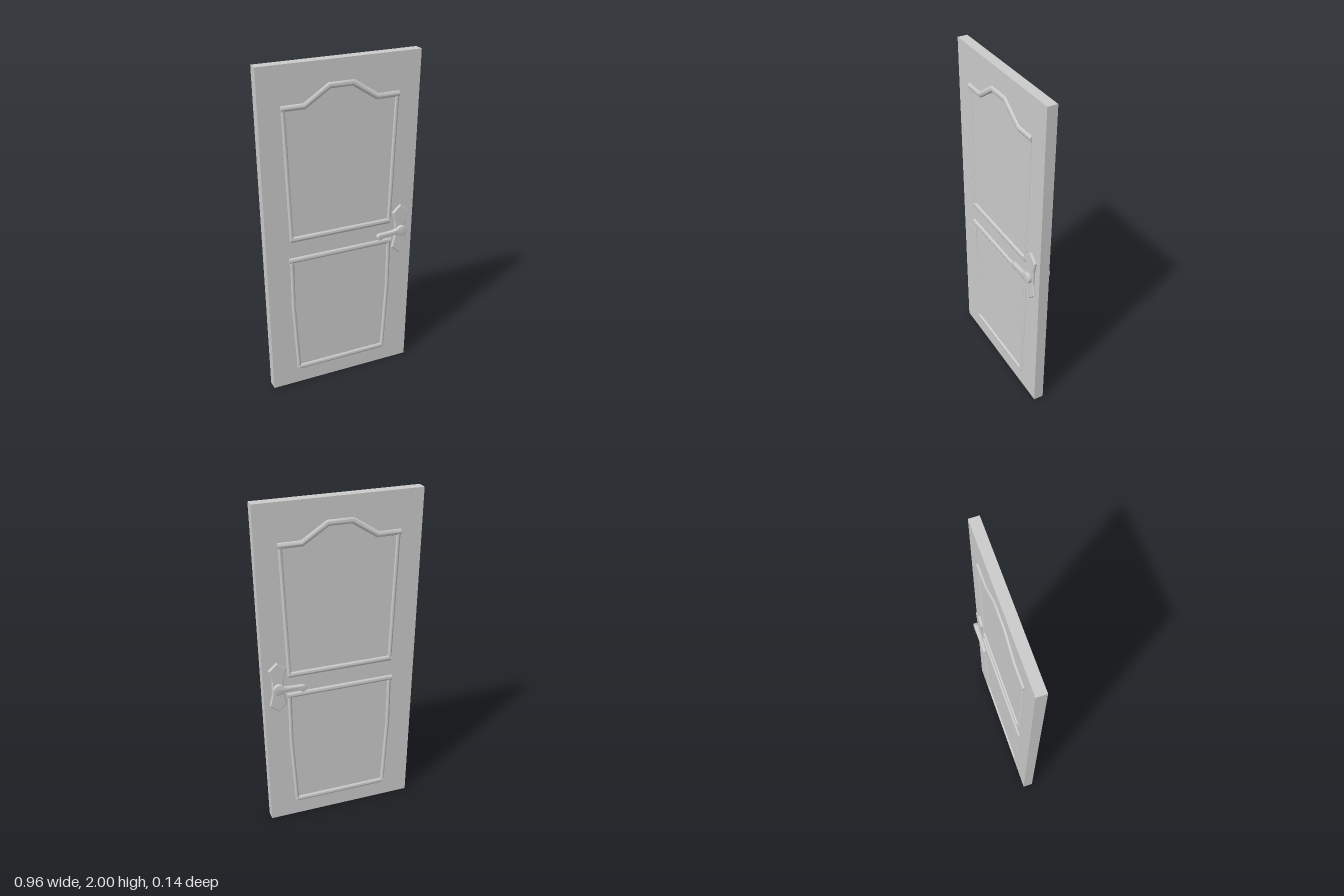
import * as THREE from 'three';
import { toCreasedNormals } from 'three/addons/utils/BufferGeometryUtils.js';

const material = new THREE.MeshStandardMaterial({ color: 0xcccccc });
const HALF = 0.03; // half the thickness of the slab

function part(name, geometry) {
  const mesh = new THREE.Mesh(geometry, material);
  mesh.name = name;
  return mesh;
}

// Half-round strip swept along a path in the xy plane, mitred at the bends
function strip(points, width, height) {
  const path = points.map(([x, y]) => new THREE.Vector2(x, y));
  const steps = 8, ring = steps + 1, last = path.length - 1;
  const positions = [], index = [];
  const leftOf = i => {
    const d = path[i + 1].clone().sub(path[i]).normalize();
    return new THREE.Vector2(-d.y, d.x);
  };
  path.forEach((p, i) => {
    const a = leftOf(Math.max(i - 1, 0)), b = leftOf(Math.min(i, last - 1));
    const n = a.clone().add(b).normalize();
    n.multiplyScalar(width / 2 / n.dot(a));
    for (let j = 0; j <= steps; j++) {
      const t = Math.PI * (1 - j / steps);
      positions.push(p.x + n.x * Math.cos(t), p.y + n.y * Math.cos(t), HALF + height * Math.sin(t));
    }
  });
  for (let i = 0; i < last; i++) {
    for (let j = 0; j < steps; j++) {
      const a = i * ring + j, b = a + ring;
      index.push(a, b, b + 1, a, b + 1, a + 1);
    }
  }
  // End caps
  for (let j = 1; j < steps; j++) {
    const e = last * ring;
    index.push(0, j, j + 1, e, e + j + 1, e + j);
  }
  const g = new THREE.BufferGeometry();
  g.setAttribute('position', new THREE.Float32BufferAttribute(positions, 3));
  g.setIndex(index);
  return toCreasedNormals(g, 0.9);
}

// Everything mounted on one face; s = -1 mirrors x so both handles share an edge
function doorFace(s) {
  const face = new THREE.Group();
  const flip = pts => pts.map(([x, y]) => [x * s, y]);
  const shapeOf = pts => new THREE.Shape(pts.map(([x, y]) => new THREE.Vector2(x * s, y)));

  // Panel mouldings: wide rails and narrower stiles
  const rails = {
    upperPanelArch: [[-0.35, 1.765], [-0.215, 1.765], [-0.07, 1.86], [0.07, 1.86], [0.215, 1.765], [0.35, 1.765]],
    upperPanelBottom: [[-0.317, 0.993], [0.315, 0.993]],
    lowerPanelTop: [[-0.327, 0.86], [0.325, 0.86]],
    lowerPanelBottom: [[-0.292, 0.112], [0.288, 0.112]],
  };
  const stiles = {
    upperPanelStile: [[0.337, 1.765], [0.308, 0.99]],
    lowerPanelStile: [[0.31, 0.86], [0.308, 0.55], [0.282, 0.1]],
  };
  for (const [name, pts] of Object.entries(rails)) face.add(part(name, strip(flip(pts), 0.034, 0.01)));
  for (const [name, pts] of Object.entries(stiles)) {
    for (const side of [-1, 1]) {
      face.add(part(name, strip(pts.map(([x, y]) => [x * side, y]), 0.024, 0.009)));
    }
  }

  // Waisted handle plate with a bevelled edge
  const cx = 0.38, cy = 0.928;
  const quarter = [[0, 0.153], [0.046, 0.112], [0.03, 0.045]];
  const right = [...quarter, ...quarter.map(([x, y]) => [x, -y]).reverse()];
  const left = right.slice(1, -1).map(([x, y]) => [-x, y]).reverse();
  const outline = [...right, ...left].map(([x, y]) => [cx + x, cy + y]);
  const plate = new THREE.ExtrudeGeometry(shapeOf(outline), {
    depth: 0.008, bevelThickness: 0.006, bevelSize: 0.005, bevelSegments: 1,
  });
  plate.translate(0, 0, HALF);
  face.add(part('handlePlate', plate));

  // Neck joining plate and lever
  const neck = new THREE.CylinderGeometry(0.014, 0.014, 0.03, 20);
  neck.rotateX(Math.PI / 2).translate(cx * s, 0.925, 0.04);
  face.add(part('handleNeck', neck));

  // Lever: round hub, slim arm and curled round tip
  const lever = new THREE.Shape();
  lever.absarc(cx, 0.925, 0.031, 2.6, -2.3, true);
  lever.bezierCurveTo(0.34, 0.918, 0.29, 0.915, 0.256, 0.906);
  lever.absarc(0.237, 0.912, 0.018, -0.3, 1.6 - 2 * Math.PI, true);
  lever.bezierCurveTo(0.28, 0.932, 0.32, 0.93, 0.353, 0.941);
  const leverPoints = lever.getPoints(16).map(p => [p.x, p.y]);
  const leverGeometry = new THREE.ExtrudeGeometry(shapeOf(leverPoints), {
    depth: 0.017, bevelThickness: 0.003, bevelSize: 0.003, bevelOffset: -0.001, bevelSegments: 2,
  });
  leverGeometry.translate(0, 0, 0.05);
  face.add(part('handleLever', toCreasedNormals(leverGeometry, 0.7)));
  return face;
}

export function createModel() {
  const door = new THREE.Group();
  door.name = 'door';

  // Slab, slightly wider at the top
  const slab = new THREE.Shape([[-0.45, 0], [0.45, 0], [0.48, 2], [-0.48, 2]].map(p => new THREE.Vector2(...p)));
  const slabGeometry = new THREE.ExtrudeGeometry(slab, { depth: HALF * 2, bevelEnabled: false });
  slabGeometry.translate(0, 0, -HALF);
  door.add(part('slab', slabGeometry));

  const front = doorFace(1);
  front.name = 'frontFace';
  const back = doorFace(-1);
  back.name = 'backFace';
  back.rotation.y = Math.PI;
  door.add(front, back);
  return door;
}
